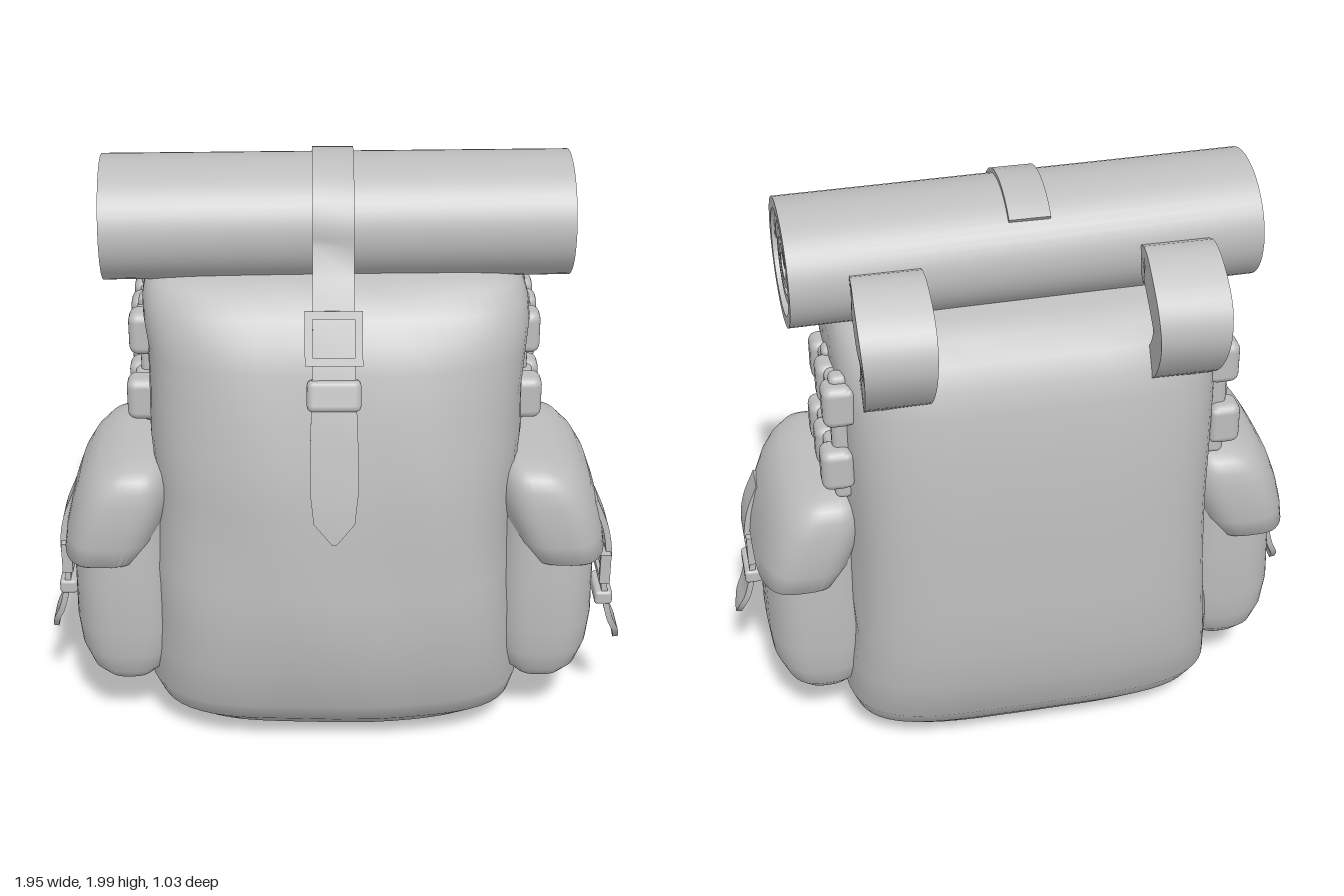
import * as THREE from 'three';
import { toCreasedNormals } from 'three/addons/utils/BufferGeometryUtils.js';
import { RoundedBoxGeometry } from 'three/addons/geometries/RoundedBoxGeometry.js';

const canvas = new THREE.MeshStandardMaterial({ color: 0xbdbdbd });
canvas.name = 'grey canvas';

function add(parent, name, geometry, x = 0, y = 0, z = 0) {
  const mesh = new THREE.Mesh(geometry, canvas);
  mesh.name = name;
  mesh.position.set(x, y, z);
  parent.add(mesh);
  return mesh;
}

// Skin over a stack of equal-length rings, closed at both ends
function loft(rings, crease) {
  const n = rings[0].length, pos = [], index = [];
  const mid = ring => ring.reduce((s, p) => s.map((v, k) => v + p[k] / n), [0, 0, 0]);
  rings.forEach(ring => ring.forEach(p => pos.push(...p)));
  const last = (rings.length - 1) * n, bottom = last + n, top = bottom + 1;
  pos.push(...mid(rings[0]), ...mid(rings[rings.length - 1]));
  for (let j = 0; j < n; j++) {
    const k = (j + 1) % n;
    for (let i = 0; i < last; i += n) {
      index.push(i + j, i + n + j, i + n + k, i + j, i + n + k, i + k);
    }
    index.push(bottom, j, k, top, last + k, last + j);
  }
  const geo = new THREE.BufferGeometry();
  geo.setAttribute('position', new THREE.Float32BufferAttribute(pos, 3));
  geo.setIndex(index);
  geo.computeVertexNormals();
  return crease ? toCreasedNormals(geo, crease) : geo;
}

// Rounded horizontal section; the front and back have their own squareness
function section(y, w, front, back, nFront, nBack, wrinkle, x0 = 0) {
  const ring = [], N = 56;
  for (let j = 0; j < N; j++) {
    const a = j / N * Math.PI * 2, c = Math.cos(a), s = Math.sin(a);
    const e = 2 / (s >= 0 ? nFront : nBack);
    const x = w * Math.sign(c) * Math.abs(c) ** e;
    const z = (s >= 0 ? front : back) * Math.sign(s) * Math.abs(s) ** e;
    const k = s > -0.3 ? 1 + wrinkle * Math.sin(7 * x + 9 * y) * Math.sin(5 * y - 6 * x + 4 * z) : 1;
    ring.push([x0 + x * k, y, z * k]);
  }
  return ring;
}

// Strap of thickness t following [z, y, halfWidth] points
function ribbon(points, t) {
  const rings = points.map(([z, y, w], i) => {
    const a = points[Math.max(i - 1, 0)], b = points[Math.min(i + 1, points.length - 1)];
    const len = Math.hypot(b[0] - a[0], b[1] - a[1]);
    const nz = -(b[1] - a[1]) / len * t / 2, ny = (b[0] - a[0]) / len * t / 2;
    return [[w, y + ny, z + nz], [w, y - ny, z - nz], [-w, y - ny, z - nz], [-w, y + ny, z + nz]];
  });
  return loft(rings, 0.7);
}

// Smooths a coarse list of ribbon points
function smooth(points, n = 24) {
  const curve = new THREE.CatmullRomCurve3(points.map(p => new THREE.Vector3(...p)), false, 'centripetal');
  return curve.getPoints(n).map(v => v.toArray());
}

// Open rectangular buckle frame
function buckle(w, h, bar, depth) {
  const s = new THREE.Shape([[-w, -h], [w, -h], [w, h], [-w, h]].map(p => new THREE.Vector2(...p)));
  const a = w - bar, b = h - bar;
  s.holes.push(new THREE.Path([[-a, -b], [-a, b], [a, b], [a, -b]].map(p => new THREE.Vector2(...p))));
  return new THREE.ExtrudeGeometry(s, { depth, bevelEnabled: false });
}

function extrudeAlongX(shape, length) {
  const geo = new THREE.ExtrudeGeometry(shape, { depth: length, bevelEnabled: false, curveSegments: 24 });
  geo.translate(0, 0, -length / 2).rotateY(Math.PI / 2);
  return toCreasedNormals(geo, 0.6);
}

function bedroll() {
  const roll = new THREE.Group();
  roll.name = 'bedroll';
  // outer wrap
  const wrap = new THREE.Shape().absellipse(0, 0, 0.225, 0.225, 0, Math.PI * 2);
  wrap.holes.push(new THREE.Path().absellipse(0, 0, 0.185, 0.185, 0, Math.PI * 2, true));
  add(roll, 'outerWrap', extrudeAlongX(wrap, 1.48));
  // coiled layers seen at the ends
  const outer = [], inner = [];
  for (let i = 0; i <= 72; i++) {
    const a = i / 72 * Math.PI * 5, r = 0.045 + 0.135 * i / 72;
    outer.push(new THREE.Vector2(r * Math.cos(a), r * Math.sin(a)));
    inner.unshift(new THREE.Vector2((r - 0.03) * Math.cos(a), (r - 0.03) * Math.sin(a)));
  }
  add(roll, 'coil', extrudeAlongX(new THREE.Shape([...outer, ...inner]), 1.46));
  add(roll, 'core', new THREE.CylinderGeometry(0.187, 0.187, 1.42, 32).rotateZ(Math.PI / 2));
  roll.scale.y = 0.87;
  roll.position.set(0.005, 1.79, -0.02);
  roll.rotation.y = 0.02;
  return roll;
}

function sidePocket(s) {
  const pocket = new THREE.Group();
  pocket.name = s > 0 ? 'leftPocket' : 'rightPocket';
  // bag: y, outer x, half depth
  const bag = [[0.195, 0.76, 0.16], [0.21, 0.8, 0.22], [0.25, 0.84, 0.255], [0.32, 0.87, 0.275], [0.42, 0.882, 0.285],
    [0.6, 0.875, 0.288], [0.8, 0.85, 0.285], [0.9, 0.82, 0.28], [0.96, 0.76, 0.25]];
  add(pocket, 'pocketBag', loft(bag.map(([y, x, d]) =>
    section(y, x - 0.7, d, d, 3, 3, 0.02, s * 0.7))), 0, 0, 0.02);
  // flap draped over the top of the bag: y, inner x, outer x, half depth
  const flap = [[0.68, 0.66, 0.895, 0.29], [0.69, 0.62, 0.905, 0.305], [0.76, 0.58, 0.895, 0.318], [0.84, 0.55, 0.875, 0.322],
    [0.91, 0.53, 0.85, 0.32], [0.96, 0.53, 0.82, 0.312], [1.0, 0.54, 0.78, 0.295], [1.02, 0.56, 0.73, 0.26],
    [1.03, 0.58, 0.69, 0.2]];
  add(pocket, 'pocketFlap', loft(flap.map(([y, a, b, d]) =>
    section(y, (b - a) / 2, d, d, 3.2, 3.2, 0, s * (a + b) / 2)), 0.9), 0, 0, 0.02);
  // strap and buckle face outward
  const outward = new THREE.Group();
  outward.name = 'pocketClosure';
  outward.rotation.y = s * Math.PI / 2;
  pocket.add(outward);
  const strapX = s > 0 ? -0.15 : 0.06;
  add(outward, 'pocketStrap', ribbon(smooth([[0.86, 0.86, 0.05], [0.9, 0.76, 0.055], [0.915, 0.66, 0.06],
    [0.905, 0.55, 0.065], [0.93, 0.42, 0.065], [0.955, 0.36, 0.05], [0.965, 0.31, 0.012]]), 0.02), strapX);
  add(outward, 'pocketBuckle', buckle(0.085, 0.055, 0.022, 0.035), strapX, 0.62, 0.885);
  add(outward, 'strapKeeper', new RoundedBoxGeometry(0.15, 0.05, 0.06, 2, 0.012), strapX, 0.5, 0.905);
  return pocket;
}

// Loops of webbing on each side above the pocket
function sideWebbing(s) {
  const web = new THREE.Group();
  web.name = s > 0 ? 'leftWebbing' : 'rightWebbing';
  for (const [y, x] of [[1.405, 0.605], [1.17, 0.62]]) {
    add(web, 'webbingBand', new RoundedBoxGeometry(0.08, 0.13, 0.38, 2, 0.02), s * x, y, -0.12);
    for (const z of [0.02, -0.12, -0.26]) {
      add(web, 'webbingLoop', new RoundedBoxGeometry(0.1, 0.145, 0.1, 3, 0.03), s * (x + 0.012), y, z);
    }
  }
  for (const z of [-0.07, -0.24]) {
    add(web, 'webbingUpright', new RoundedBoxGeometry(0.06, 0.46, 0.06, 2, 0.02), s * 0.61, 1.27, z);
  }
  return web;
}

export function createModel() {
  const pack = new THREE.Group();
  pack.name = 'backpack';

  // main bag: y, half width, front reach, back reach
  const rows = [[0.005, 0.28, 0.16, 0.16], [0.02, 0.45, 0.23, 0.24], [0.05, 0.53, 0.29, 0.3], [0.12, 0.61, 0.37, 0.37],
    [0.2, 0.635, 0.42, 0.43], [0.35, 0.625, 0.46, 0.47], [0.5, 0.612, 0.472, 0.485], [0.65, 0.605, 0.472, 0.485],
    [0.8, 0.6, 0.463, 0.48], [0.95, 0.6, 0.45, 0.475], [1.1, 0.605, 0.432, 0.465], [1.25, 0.61, 0.405, 0.45],
    [1.4, 0.615, 0.365, 0.425], [1.48, 0.62, 0.33, 0.4], [1.55, 0.615, 0.285, 0.365], [1.61, 0.6, 0.23, 0.31],
    [1.64, 0.57, 0.16, 0.23], [1.66, 0.48, 0.08, 0.14]];
  add(pack, 'mainBag', loft(rows.map(([y, w, f, b]) => section(y, w, f, b, 3.1, 4.2, 0.02))));

  pack.add(bedroll());

  // centre strap over the bedroll, with its hanging pointed end
  const strap = [];
  for (let i = 0; i <= 14; i++) {
    const a = Math.PI * (0.75 - 0.79 * i / 14);
    strap.push([-0.02 + 0.232 * Math.cos(a), 1.79 + 0.2 * Math.sin(a), 0.065]);
  }
  strap.push([0.26, 1.68, 0.065], [0.32, 1.56, 0.065], [0.37, 1.45, 0.065], [0.41, 1.34, 0.07],
    [0.445, 1.2, 0.075], [0.48, 1.04, 0.075], [0.497, 0.95, 0.065], [0.505, 0.88, 0.008]);
  add(pack, 'centreStrap', ribbon(strap, 0.02), -0.005);
  add(pack, 'centreBuckle', buckle(0.09, 0.085, 0.025, 0.04), -0.005, 1.51, 0.325).rotation.x = -0.4;
  add(pack, 'centreKeeper', new RoundedBoxGeometry(0.17, 0.1, 0.06, 2, 0.02), -0.005, 1.35, 0.4).rotation.x = -0.3;

  for (const s of [1, -1]) {
    pack.add(sidePocket(s), sideWebbing(s));
    // padded shoulder strap stub curling behind the bedroll
    add(pack, 'shoulderStrap', ribbon(smooth([[-0.21, 1.74, 0.1], [-0.28, 1.8, 0.11], [-0.37, 1.765, 0.115],
      [-0.445, 1.7, 0.115], [-0.462, 1.63, 0.11], [-0.41, 1.53, 0.105], [-0.34, 1.47, 0.1]]), 0.1), s * 0.45);
  }
  return pack;
}
